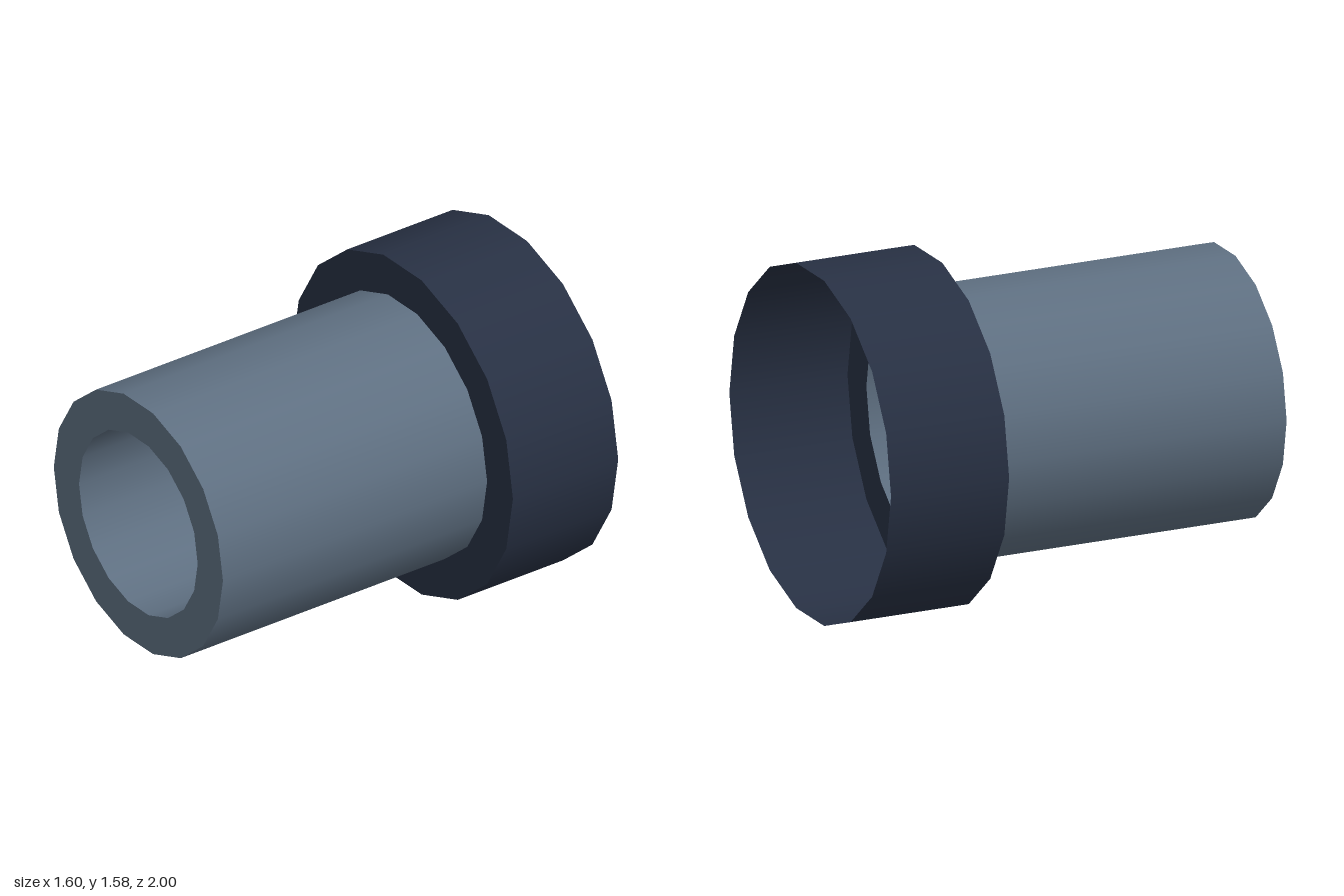
import * as THREE from 'three';

const SIDES = 18;
const COLLAR_R = 0.8, TUBE_R = 0.613, BORE_R = 0.43;
const BACK = -1, STEP = -0.43, BORE_END = 0.43, FRONT = 1;
const AXIS_Y = COLLAR_R * Math.cos(Math.PI / SIDES); // flat facet rests on the ground

const material = (color) => new THREE.MeshStandardMaterial({ color, side: THREE.DoubleSide });

export function createModel() {
  const model = new THREE.Group();
  const steel = material(0x5f7082);
  const navy = material(0x283144);
  const dark = material(0x4c4c4c);

  const add = (name, geometry, mat, z) => {
    const mesh = new THREE.Mesh(geometry, mat);
    mesh.name = name;
    mesh.position.set(0, AXIS_Y, z);
    model.add(mesh);
  };

  // Open smooth wall along z, with a corner on the x axis
  const wall = (name, r, z0, z1, mat, inward = false) => {
    const g = new THREE.CylinderGeometry(r, r, z1 - z0, SIDES, 1, true, Math.PI / 2);
    g.rotateX(Math.PI / 2);
    if (inward) {
      // Turn the wall to face the axis
      g.index.array.reverse();
      const n = g.attributes.normal;
      for (let i = 0; i < n.count; i++) n.setXYZ(i, -n.getX(i), -n.getY(i), -n.getZ(i));
    }
    add(name, g, mat, (z0 + z1) / 2);
  };

  // Flat ring facing the front
  const ring = (name, inner, outer, z, mat) =>
    add(name, new THREE.RingGeometry(inner, outer, SIDES, 1), mat, z);

  // Wide collar, open at the back
  wall('collarWall', COLLAR_R, BACK, STEP, navy);
  ring('collarShoulder', TUBE_R, COLLAR_R, STEP, navy);

  // Narrow tube, open into the collar
  wall('tubeWall', TUBE_R, STEP, FRONT, steel);
  ring('tubeFrontRim', BORE_R, TUBE_R, FRONT, steel);

  // Blind bore with a dark floor
  wall('boreWall', BORE_R, BORE_END, FRONT, steel, true);
  add('boreFloor', new THREE.CircleGeometry(BORE_R, SIDES), dark, BORE_END);

  return model;
}
